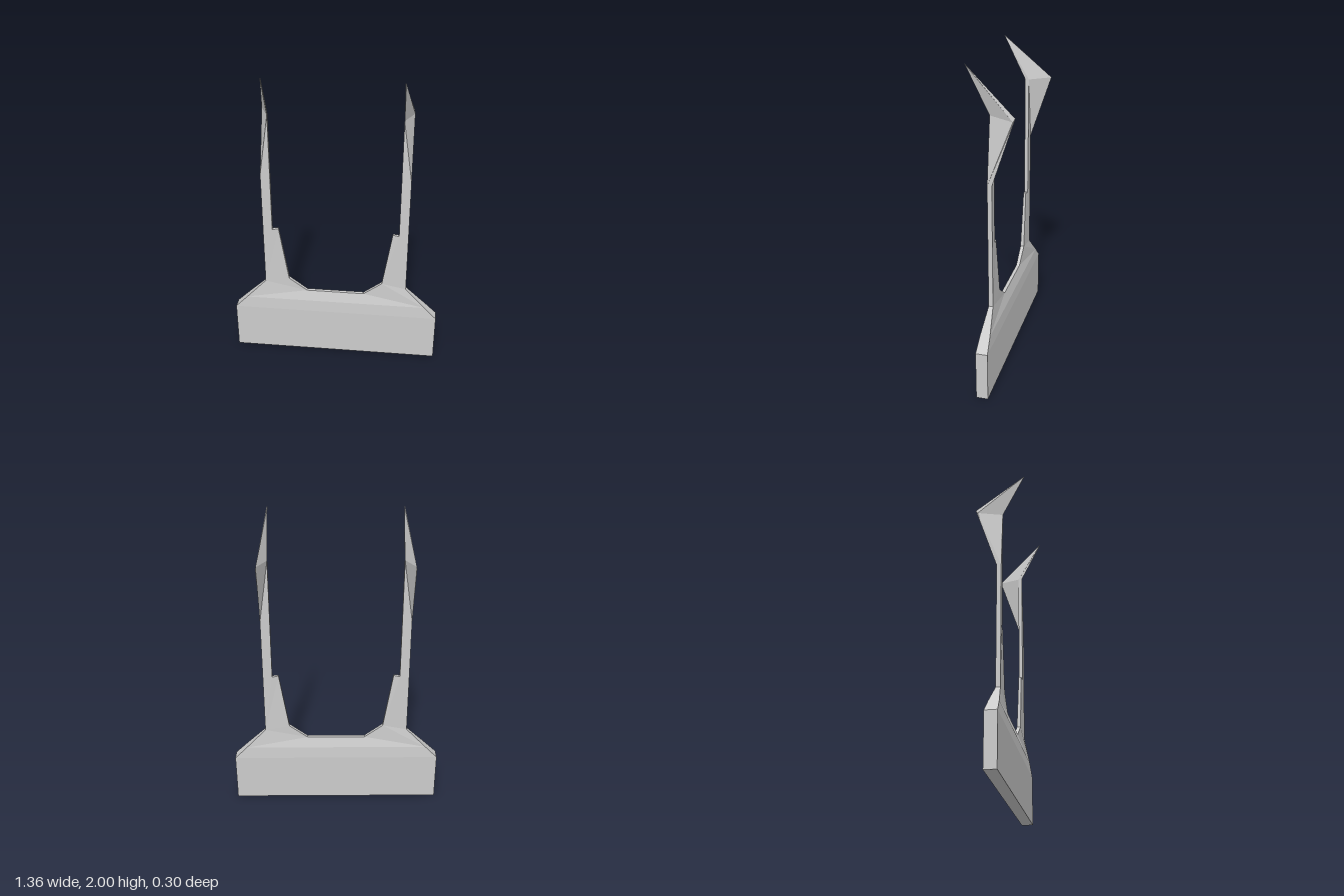
import * as THREE from 'three';

const material = new THREE.MeshStandardMaterial({ color: 0xcccccc, flatShading: true });

// Closed solid between a front outline (counter-clockwise) and a matching back outline.
// panels lists the index polygons that fill each side; mirror flips it across x.
function loft(name, front, back, panels, mirror = false) {
  const positions = [];
  const add = (points) => {
    let loop = points;
    if (mirror) loop = points.map(([x, y, z]) => [-x, y, z]).reverse();
    for (let i = 1; i < loop.length - 1; i++) positions.push(...loop[0], ...loop[i], ...loop[i + 1]);
  };
  for (const panel of panels) {
    add(panel.map((i) => front[i]));
    add(panel.map((i) => back[i]).reverse());
  }
  front.forEach((p, i) => {
    const j = (i + 1) % front.length;
    add([p, back[i], back[j], front[j]]);
  });
  const geometry = new THREE.BufferGeometry();
  geometry.setAttribute('position', new THREE.Float32BufferAttribute(positions, 3));
  geometry.computeVertexNormals();
  const mesh = new THREE.Mesh(geometry, material);
  mesh.name = name;
  return mesh;
}

const flipZ = (points) => points.map(([x, y, z]) => [x, y, -z]);

export function createModel() {
  const group = new THREE.Group();
  group.name = 'twoProngedFrame';

  // Thick base plate thinning towards its top edge and shoulders
  const base = [
    [-0.68, 0, 0.037], [0.68, 0, 0.037], [0.68, 0.32, 0.037], [0.6, 0.4, 0.031],
    [0.47, 0.53, 0.014], [0.31, 0.56, 0.012], [0.19, 0.47, 0.011],
    [-0.19, 0.47, 0.011], [-0.31, 0.56, 0.012], [-0.47, 0.53, 0.014],
    [-0.6, 0.4, 0.031], [-0.68, 0.32, 0.037],
  ];
  group.add(loft('basePlate', base, flipZ(base),
    [[0, 1, 2, 11], [11, 2, 3, 10], [10, 3, 6, 7], [3, 4, 5, 6], [7, 8, 9, 10]]));

  // Upright with a stepped inner brace and a slanted top
  const upright = [
    [0.31, 0.56, 0.012], [0.47, 0.53, 0.014], [0.47, 1.32, 0.014],
    [0.41, 1.72, 0.012], [0.41, 0.93, 0.012], [0.37, 0.937, 0.008],
  ];

  // Twisted blade: bottom, rear corner, tip, inner corner
  const bladeOuter = [[0.47, 1.32, 0.014], [0.47, 1.71, -0.137], [0.412, 2, 0.15], [0.41, 1.72, 0.012]];
  const bladeInner = [[0.47, 1.32, -0.014], [0.466, 1.73, -0.15], [0.407, 2, 0.15], [0.41, 1.72, -0.012]];

  for (const [side, mirror] of [['left', false], ['right', true]]) {
    group.add(loft(side + 'Upright', upright, flipZ(upright), [[4, 5, 0, 1], [4, 1, 2, 3]], mirror));
    group.add(loft(side + 'Blade', bladeOuter, bladeInner, [[3, 0, 1], [3, 1, 2]], mirror));
  }
  return group;
}
